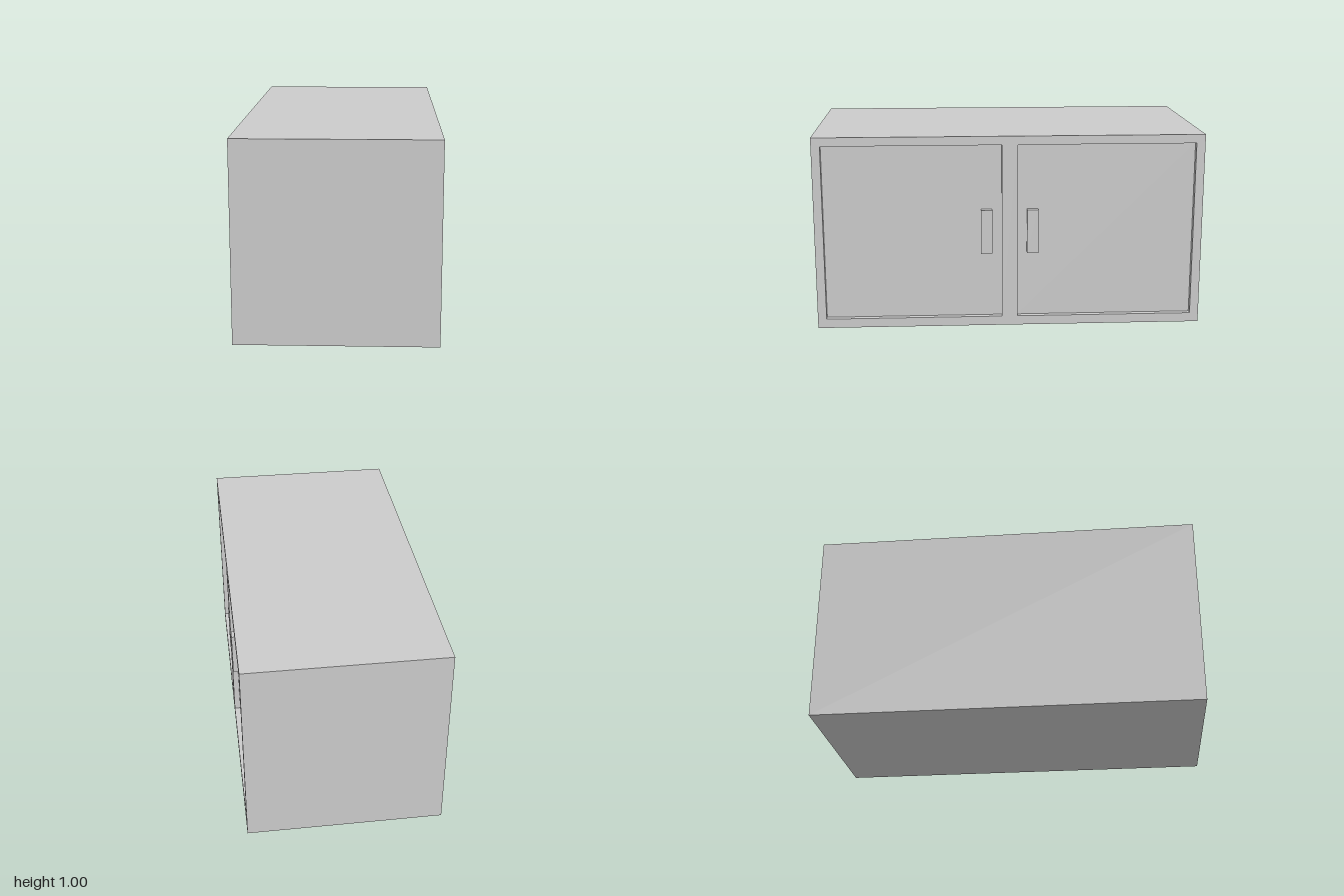
import * as THREE from 'three';

const HEIGHT = 1.005, LENGTH = 2, FACE_X = 0.5;
const FRAME = 0.05, RECESS = 0.03; // frame thickness, depth of the doors behind it
const DOOR = { inner: 0.04, outer: 0.955, bottom: 0.048, top: 0.96 };
const HANDLE = { inner: 0.09, outer: 0.148, bottom: 0.39, top: 0.62 };

const material = new THREE.MeshStandardMaterial({ color: 0xcccccc });

// Box given by its limits on each axis
function box(name, [x0, x1], [y0, y1], [z0, z1]) {
  const mesh = new THREE.Mesh(new THREE.BoxGeometry(x1 - x0, y1 - y0, z1 - z0), material);
  mesh.position.set((x0 + x1) / 2, (y0 + y1) / 2, (z0 + z1) / 2);
  mesh.name = name;
  return mesh;
}

function rectangle(PathType, u0, u1, y0, y1) {
  return new PathType([[u0, y0], [u1, y0], [u1, y1], [u0, y1]].map(([u, y]) => new THREE.Vector2(u, y)));
}

export function createModel() {
  const cabinet = new THREE.Group();
  cabinet.name = 'cabinet';

  // Plain closed carcass behind the face frame
  const frameX = FACE_X - FRAME;
  cabinet.add(box('carcass', [-FACE_X, frameX], [0, HEIGHT], [-LENGTH / 2, LENGTH / 2]));

  // Face frame with two door openings, turned to face +x
  const outline = rectangle(THREE.Shape, -LENGTH / 2, LENGTH / 2, 0, HEIGHT);
  for (const [u0, u1] of [[DOOR.inner, DOOR.outer], [-DOOR.outer, -DOOR.inner]]) {
    outline.holes.push(rectangle(THREE.Path, u0, u1, DOOR.bottom, DOOR.top));
  }
  const frame = new THREE.Mesh(
    new THREE.ExtrudeGeometry(outline, { depth: FRAME, bevelEnabled: false }), material);
  frame.rotation.y = Math.PI / 2;
  frame.position.x = frameX;
  frame.name = 'faceFrame';
  cabinet.add(frame);

  // Recessed doors, each with a bar handle flush with the frame
  const doorX = FACE_X - RECESS;
  for (const side of [1, -1]) {
    const span = (part) => [side * part.inner, side * part.outer].sort((a, b) => a - b);
    const door = new THREE.Group();
    door.name = side > 0 ? 'frontDoor' : 'backDoor';
    door.add(
      box('doorPanel', [frameX, doorX], [DOOR.bottom, DOOR.top], span(DOOR)),
      box('handle', [doorX, FACE_X], [HANDLE.bottom, HANDLE.top], span(HANDLE)));
    cabinet.add(door);
  }
  return cabinet;
}
